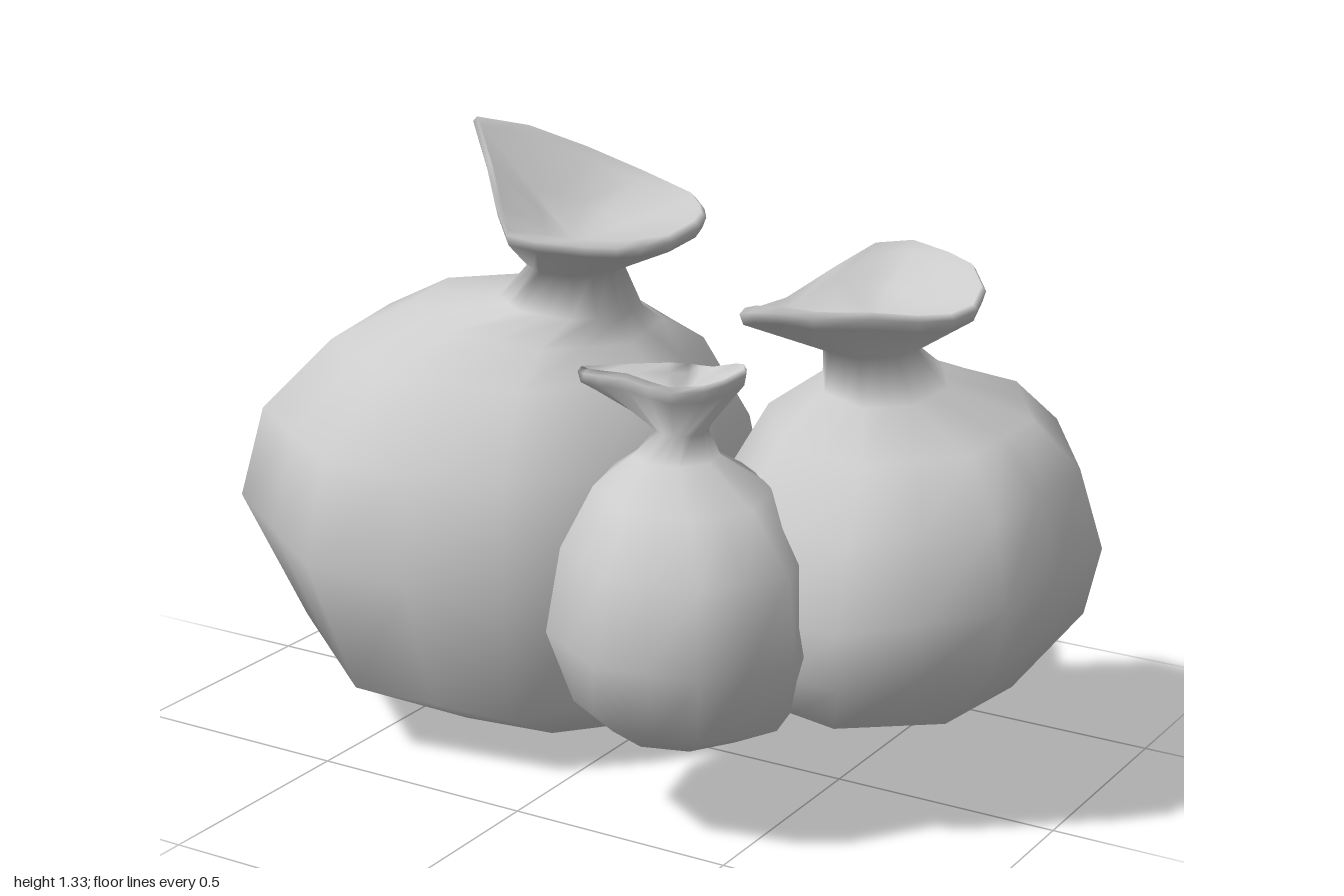
import * as THREE from 'three';
import { mergeVertices } from 'three/addons/utils/BufferGeometryUtils.js';

const SIDES = 8;          // corners of each body ring
const STEPS = SIDES * 2;  // points per ring: corners plus edge midpoints

// Octagonal ring, starting near -x and running through +z; y follows a tilted plane
function ring([cx, cy, cz, rx, rz, slopeX = 0, slopeZ = 0], phase) {
  const corner = j => {
    const a = (j / SIDES) * Math.PI * 2 + phase;
    const dx = -Math.cos(a) * rx, dz = Math.sin(a) * rz;
    return new THREE.Vector3(cx + dx, cy + slopeX * dx + slopeZ * dz, cz + dz);
  };
  return Array.from({ length: STEPS }, (_, i) => {
    const j = Math.floor(i / 2);
    return i % 2 ? corner(j).lerp(corner(j + 1), 0.5) : corner(j);
  });
}

// Skin a stack of rings into one smooth closed surface
function loft(rows) {
  const pos = rows.flat().flatMap(p => [p.x, p.y, p.z]);
  const index = [];
  for (let k = 0; k < rows.length - 1; k++) {
    for (let j = 0; j < STEPS; j++) {
      const a = k * STEPS + j, b = k * STEPS + (j + 1) % STEPS;
      const c = b + STEPS, d = a + STEPS;
      index.push(a, b, c, a, c, d);
    }
  }
  let geo = new THREE.BufferGeometry();
  geo.setAttribute('position', new THREE.Float32BufferAttribute(pos, 3));
  geo.setIndex(index);
  geo = mergeVertices(geo, 1e-5);
  geo.computeVertexNormals();
  return geo;
}

// A tied sack: rounded body, pinched neck and a flared, folded cloth mouth
function sack(name, material, { body, rim, phase }) {
  const rows = body.map(r => ring(r, phase));
  const neck = body[body.length - 1];
  const middle = new THREE.Vector3(neck[0], neck[1] + 0.05, neck[2]);
  const edge = new THREE.CatmullRomCurve3(rim.map(p => new THREE.Vector3(...p)), true, 'catmullrom', 0.25);
  const lip = Array.from({ length: STEPS }, (_, j) => edge.getPoint(j / STEPS));

  // Outer flare, rolled lip and hollow inside
  const inward = (p, t, drop) => {
    const q = p.clone().lerp(middle, t);
    q.y = p.y - drop;
    return q;
  };
  rows.push(lip.map(p => inward(p, 0.03, 0.035)));
  rows.push(lip.map(p => inward(p, 0, 0.012)));
  rows.push(lip.map(p => inward(p, 0.04, 0)));
  rows.push(lip.map(p => inward(p, 0.09, 0.02)));
  rows.push(lip.map(p => p.clone().lerp(middle, 0.6)));
  rows.push(lip.map(() => middle.clone()));

  const mesh = new THREE.Mesh(loft(rows), material);
  mesh.name = name;
  return mesh;
}

// Body rows: centre x, y, z, radius x, radius z, slope along x, slope along z
const largeSack = {
  phase: -0.23,
  body: [
    [-0.16, 0, 0.03, 0, 0],
    [-0.23, 0.055, 0.01, 0.27, 0.26, -0.01, 0.03],
    [-0.36, 0.185, -0.06, 0.49, 0.5, -0.07, -0.08],
    [-0.395, 0.44, -0.055, 0.615, 0.575, -0.06],
    [-0.4, 0.67, -0.065, 0.56, 0.525, -0.01],
    [-0.39, 0.835, -0.1, 0.43, 0.39, 0, -0.03],
    [-0.33, 0.91, -0.09, 0.29, 0.26, -0.08, -0.03],
    [-0.22, 0.955, -0.06, 0.16, 0.15, -0.06],
    [-0.2, 1.04, -0.05, 0.105, 0.11],
  ],
  rim: [
    [-0.5, 1.33, -0.1], [-0.38, 1.24, 0.01], [-0.28, 1.15, 0.12], [-0.12, 1.17, 0.23],
    [0.07, 1.19, 0.28], [0.15, 1.2, 0.27], [0.19, 1.2, 0.19], [0.12, 1.18, -0.06],
    [0.04, 1.17, -0.2], [-0.05, 1.17, -0.31], [-0.24, 1.21, -0.34], [-0.4, 1.29, -0.23],
  ],
};

const mediumSack = {
  phase: 0.23,
  body: [
    [0.54, 0.21, 0.02, 0, 0],
    [0.56, 0.22, 0.01, 0.19, 0.18, 0.02, -0.03],
    [0.575, 0.265, -0.01, 0.29, 0.32, -0.02, -0.02],
    [0.585, 0.39, -0.07, 0.4, 0.435, 0.06, -0.08],
    [0.585, 0.53, -0.075, 0.43, 0.465, 0.06, -0.1],
    [0.59, 0.7, -0.08, 0.37, 0.41, 0.06, -0.1],
    [0.58, 0.82, -0.08, 0.28, 0.3, 0, -0.1],
    [0.56, 0.895, -0.05, 0.13, 0.16, -0.1, -0.1],
    [0.54, 0.97, -0.02, 0.1, 0.1],
  ],
  rim: [
    [0.36, 1.06, 0.03], [0.36, 1.07, 0.19], [0.4, 1.1, 0.28], [0.48, 1.12, 0.31],
    [0.56, 1.11, 0.28], [0.66, 1.1, 0.18], [0.73, 1.08, 0.08], [0.77, 1.08, -0.01],
    [0.75, 1.1, -0.12], [0.69, 1.13, -0.19], [0.6, 1.14, -0.23], [0.47, 1.15, -0.25],
    [0.43, 1.12, -0.1],
  ],
};

const smallSack = {
  phase: -0.19,
  body: [
    [0.27, 0.16, 0.27, 0, 0],
    [0.28, 0.175, 0.29, 0.14, 0.13, 0.05],
    [0.315, 0.26, 0.335, 0.24, 0.22],
    [0.32, 0.42, 0.35, 0.292, 0.272],
    [0.32, 0.6, 0.345, 0.265, 0.242],
    [0.295, 0.72, 0.32, 0.185, 0.18, -0.05, -0.06],
    [0.255, 0.77, 0.28, 0.09, 0.09],
    [0.25, 0.815, 0.25, 0.055, 0.055],
  ],
  rim: [
    [0.01, 0.92, 0.27], [0.07, 0.93, 0.31], [0.17, 0.94, 0.33], [0.27, 0.93, 0.345],
    [0.34, 0.93, 0.28], [0.355, 0.94, 0.17], [0.31, 0.93, 0.1], [0.25, 0.92, 0.13],
    [0.2, 0.92, 0.13], [0.18, 0.94, 0.22],
  ],
};

export function createModel() {
  const group = new THREE.Group();
  group.name = 'sacks';
  const cloth = new THREE.MeshStandardMaterial({ color: 0xcccccc, side: THREE.DoubleSide });
  group.add(
    sack('largeSack', cloth, largeSack),
    sack('mediumSack', cloth, mediumSack),
    sack('smallSack', cloth, smallSack),
  );
  return group;
}
